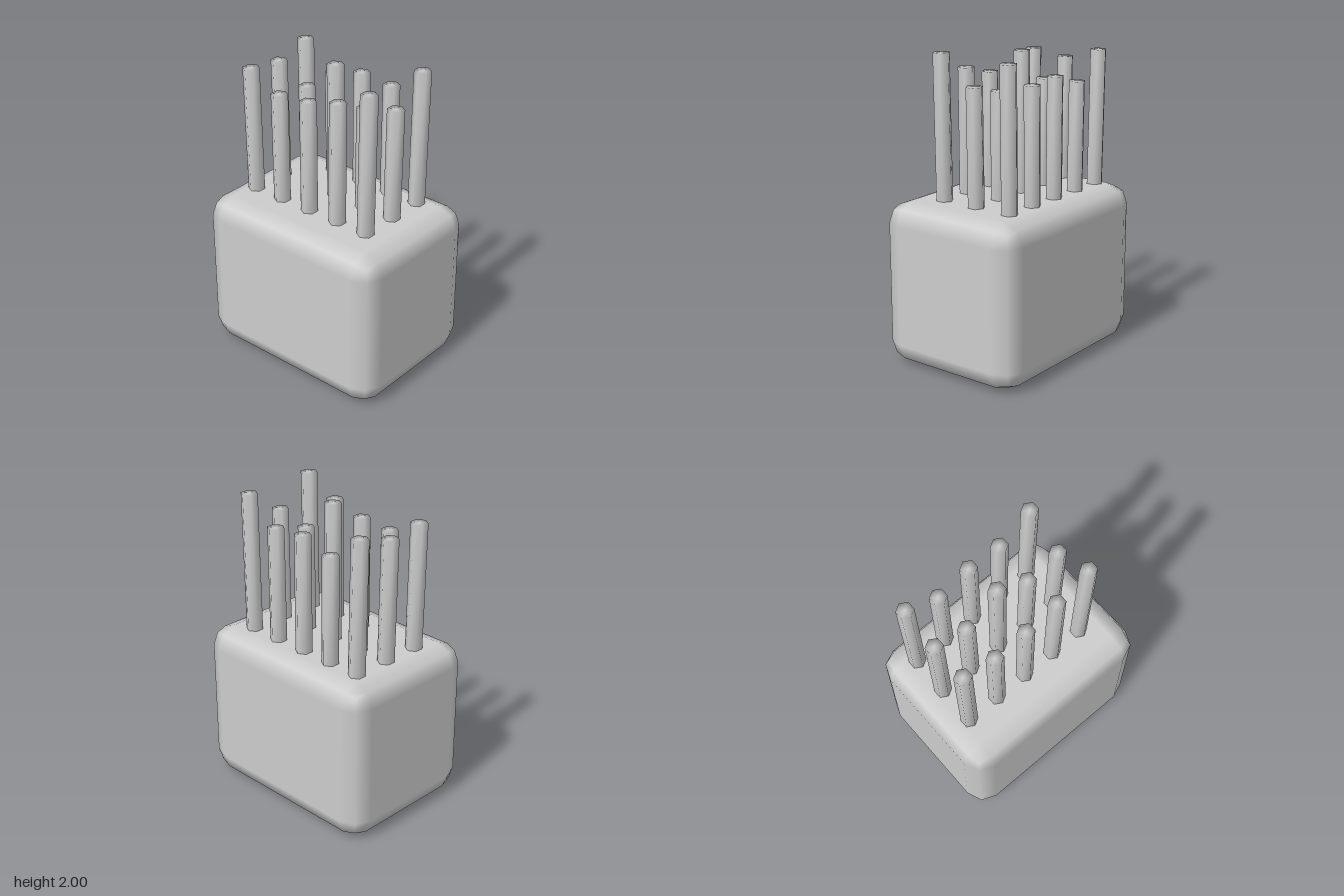
import * as THREE from 'three';
import { RoundedBoxGeometry } from 'three/addons/geometries/RoundedBoxGeometry.js';
import { mergeVertices } from 'three/addons/utils/BufferGeometryUtils.js';

const BODY = { width: 1.37, height: 1.07, depth: 1.015, bevel: 0.14 };
const PEG_RADIUS = 0.055;
const PEG_BASE = 1.0; // slightly sunk into the block
const COLUMNS = [-0.511, -0.276, -0.041, 0.195, 0.43];

// Rows from front to back, with the top height of each peg
const ROWS = [
  { z: 0.203, tops: [1.91, 1.8, 1.82, 1.88, 2.0] },
  { z: -0.052, tops: [1.88, 1.77, 1.98, 1.76, 1.82] },
  { z: -0.307, tops: [1.95, 1.78, 1.845, 1.825, 1.985] },
];

// Six-sided peg with normals shared between sides and caps
function pegGeometry(length) {
  const geometry = new THREE.CylinderGeometry(PEG_RADIUS, PEG_RADIUS, length, 6);
  geometry.deleteAttribute('normal');
  geometry.deleteAttribute('uv');
  const smooth = mergeVertices(geometry);
  smooth.computeVertexNormals();
  return smooth.translate(0, -length / 2, 0); // origin at the tip
}

export function createModel() {
  const model = new THREE.Group();
  model.name = 'peggedBlock';
  const grey = new THREE.MeshStandardMaterial({ color: 0xcccccc });
  grey.name = 'grey';

  // Block with two-step bevelled edges
  const block = new THREE.Mesh(
    new RoundedBoxGeometry(BODY.width, BODY.height, BODY.depth, 1, BODY.bevel), grey);
  block.name = 'block';
  block.position.y = BODY.height / 2;
  model.add(block);

  // Pegs fan out slightly from the middle
  const pegs = new THREE.Group();
  pegs.name = 'pegs';
  ROWS.forEach(({ z, tops }, row) => {
    COLUMNS.forEach((x, column) => {
      const peg = new THREE.Mesh(pegGeometry(tops[column] - PEG_BASE), grey);
      peg.name = `pegRow${row + 1}Column${column + 1}`;
      peg.position.set(x, tops[column], z);
      peg.rotation.z = -0.036 * x;
      pegs.add(peg);
    });
  });
  model.add(pegs);

  return model;
}
